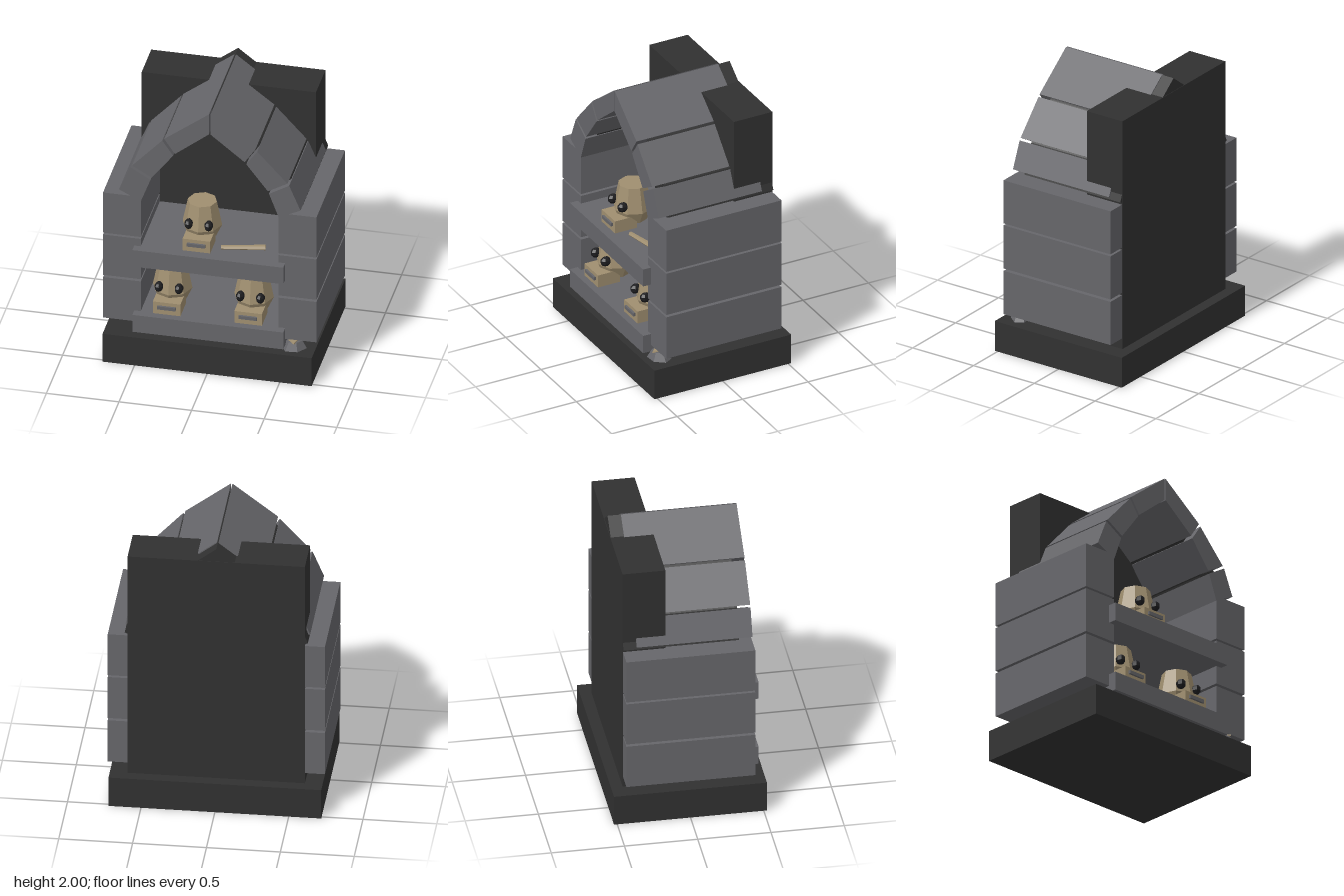
import * as THREE from 'three';

const mat = (name, color, flat = false) => {
  const m = new THREE.MeshStandardMaterial({ color, flatShading: flat });
  m.name = name;
  return m;
};

export function createModel() {
  const stone = mat('grey stone', 0x66666a, true);
  const dark = mat('dark stone', 0x313131, true);
  const bone = mat('old bone', 0xa08f70, true);
  const black = mat('eye black', 0x1d1d1f, true);

  const root = new THREE.Group();
  root.name = 'boneShrine';

  const add = (parent, name, geo, material, x = 0, y = 0, z = 0) => {
    const m = new THREE.Mesh(geo, material);
    m.name = name;
    m.position.set(x, y, z);
    parent.add(m);
    return m;
  };
  // Box given by its limits on each axis
  const box = (parent, name, material, x0, x1, y0, y1, z0, z1) =>
    add(parent, name, new THREE.BoxGeometry(x1 - x0, y1 - y0, z1 - z0), material,
      (x0 + x1) / 2, (y0 + y1) / 2, (z0 + z1) / 2);
  // Outline in x and y pushed out from z0 to z1
  const prism = (name, material, pts, z0, z1) => {
    const shape = new THREE.Shape(pts.map(p => new THREE.Vector2(p[0], p[1])));
    const geo = new THREE.ExtrudeGeometry(shape, { depth: z1 - z0, bevelEnabled: false });
    return add(root, name, geo, material, 0, 0, z0);
  };

  // Plinth, back wall and shelves
  box(root, 'plinth', dark, -0.72, 0.72, 0, 0.22, -0.522, 0.522);
  box(root, 'backWall', dark, -0.6, 0.6, 0.22, 1.9, -0.443, -0.15);
  box(root, 'lowerShelf', stone, -0.52, 0.52, 0.25, 0.383, -0.2, 0.5);
  box(root, 'upperShelf', stone, -0.52, 0.52, 0.765, 0.895, -0.2, 0.5);

  // Side pillars of three blocks, and three arch stones on each side
  const courses = [[0.298, 0.617], [0.635, 0.953], [0.968, 1.285]];
  const archStones = [
    [[0.625, 1.325], [0.547, 1.51], [0.408, 1.428], [0.475, 1.25]],
    [[0.535, 1.525], [0.327, 1.75], [0.252, 1.64], [0.4, 1.447]],
    [[0.314, 1.765], [0.005, 2], [0.005, 1.842], [0.24, 1.655]],
  ];
  for (const s of [1, -1]) {
    for (const [y0, y1] of courses) {
      const b = box(root, 'pillarBlock', stone, 0.475, 0.735, y0, y1, -0.44, 0.44);
      b.position.x *= s;
    }
    for (const pts of archStones) {
      prism('archStone', stone, pts.map(([x, y]) => [x * s, y]), -0.35, 0.44);
    }
  }

  // Dark mortar arch, set back behind the stones
  const outer = [[0.62, 1.308], [0.537, 1.514], [0.317, 1.752]];
  const inner = [[0.25, 1.652], [0.408, 1.442], [0.48, 1.24]];
  const flip = pts => pts.map(([x, y]) => [-x, y]).reverse();
  prism('mortarArch', dark,
    [...outer, [0, 1.996], ...flip(outer), ...flip(inner), [0, 1.85], ...inner],
    -0.44, 0.35);

  // Skulls: faceted cranium, jaw, tooth plate and eyes
  const profile = [[0, 0.03], [0.095, 0.03], [0.136, 0.12], [0.1, 0.298], [0, 0.298]]
    .map(p => new THREE.Vector2(p[0], p[1]));
  const skull = (x, y, z) => {
    const g = new THREE.Group();
    g.name = 'skull';
    g.position.set(x, y, z);
    add(g, 'cranium', new THREE.LatheGeometry(profile, 8), bone);
    box(g, 'jaw', bone, -0.095, 0.095, 0, 0.092, 0.02, 0.188);
    box(g, 'toothPlate', stone, -0.063, 0.063, 0.042, 0.066, 0.17, 0.203);
    for (const s of [1, -1]) {
      const eye = add(g, 'eye', new THREE.SphereGeometry(0.034, 7, 5), black, s * 0.069, 0.17, 0.115);
      eye.scale.set(0.9, 1.05, 1.2);
    }
    root.add(g);
  };
  skull(-0.293, 0.39, 0.27);
  skull(0.268, 0.39, 0.27);
  skull(-0.093, 0.9, 0.248);

  // Loose bone lying on the upper shelf
  const stick = add(root, 'looseBone', new THREE.CylinderGeometry(0.016, 0.022, 0.3, 6), bone, 0.205, 0.903, 0.32);
  stick.rotation.set(0, 0.2, Math.PI / 2);

  // Rubble with a bone chip on the plinth
  const rock = add(root, 'rubble', new THREE.CylinderGeometry(0.055, 0.088, 0.058, 6), stone, 0.578, 0.249, 0.41);
  rock.scale.z = 0.75;
  rock.rotation.y = 0.5;
  const chip = add(root, 'boneChip', new THREE.CylinderGeometry(0.035, 0.04, 0.008, 3), bone, 0.575, 0.28, 0.43);
  chip.rotation.y = 0.3;

  return root;
}
